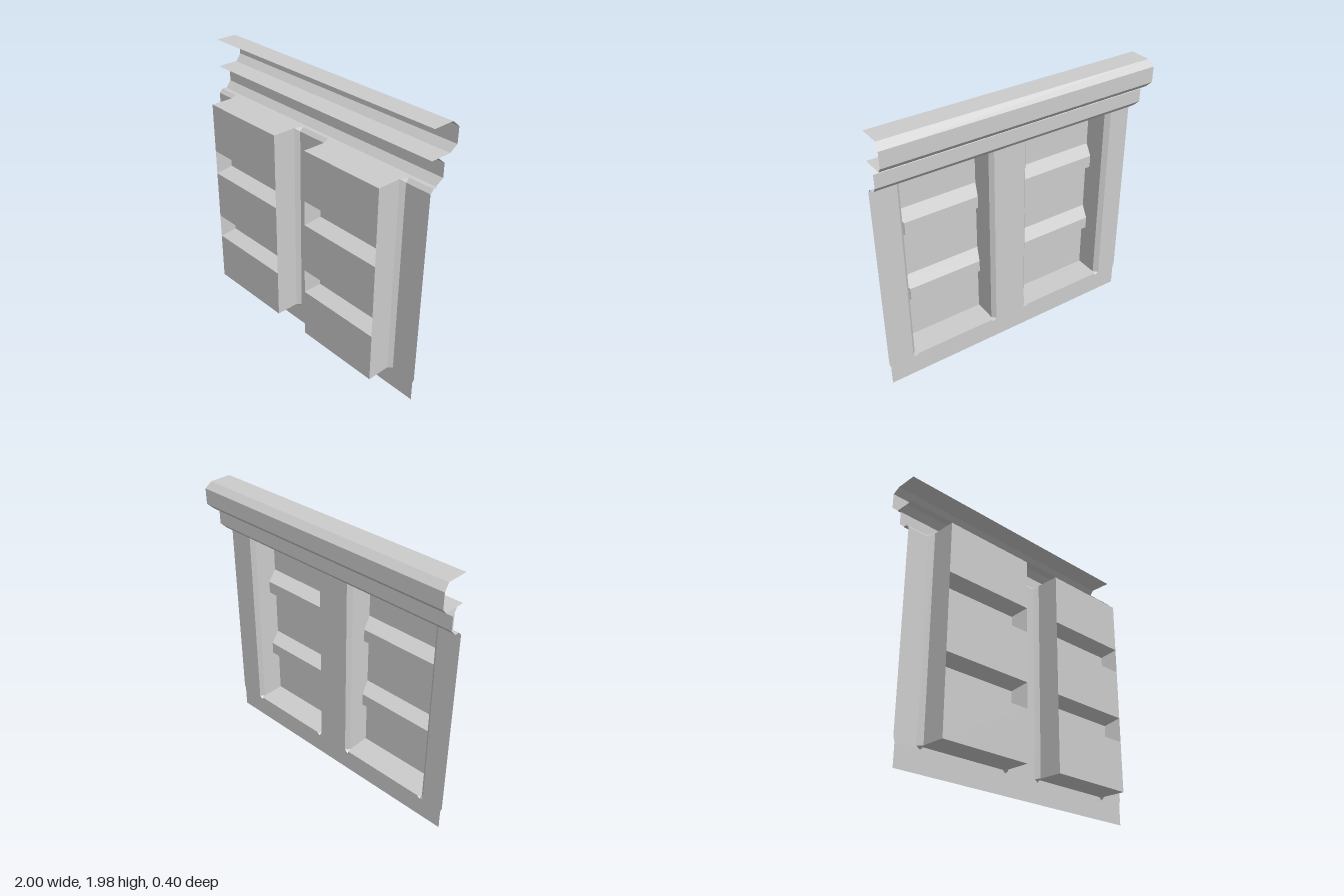
import * as THREE from 'three';

const TOP = 1.605;   // ledge above the panels
const FOOT = 0.165;  // underside of the panels
const FRONT = 0.2;   // front of the panels
const BEVEL = 0.03;  // depth of the panel side bevels

const material = new THREE.MeshStandardMaterial({
  color: 0xcccccc, flatShading: true, side: THREE.DoubleSide,
});

// Sheet from convex polygons, each a counter-clockwise list of [x, y, z] corners
function sheet(name, polygons) {
  const positions = [];
  for (const p of polygons) {
    for (let i = 1; i < p.length - 1; i++) positions.push(...p[0], ...p[i], ...p[i + 1]);
  }
  const geometry = new THREE.BufferGeometry();
  geometry.setAttribute('position', new THREE.Float32BufferAttribute(positions, 3));
  geometry.computeVertexNormals();
  const mesh = new THREE.Mesh(geometry, material);
  mesh.name = name;
  return mesh;
}

// Flat sheet from an outline of [x, y] points
function flat(name, points) {
  const shape = new THREE.Shape(points.map(([x, y]) => new THREE.Vector2(x, y)));
  const mesh = new THREE.Mesh(new THREE.ShapeGeometry(shape), material);
  mesh.name = name;
  return mesh;
}

// Moulding: a profile of [z, y, halfWidth] points, from top to bottom, swept along x
function moulding(name, profile) {
  const faces = [];
  for (let i = 0; i < profile.length - 1; i++) {
    const [za, ya, wa] = profile[i], [zb, yb, wb] = profile[i + 1];
    faces.push([[-wa, ya, za], [-wb, yb, zb], [wb, yb, zb], [wa, ya, za]]);
  }
  return sheet(name, faces);
}

// Tapered pocket set into a panel front
function pocket(x0, x1, y0, y1) {
  const ring = (inset, z) => [
    [x0 + inset, y0 + inset, z], [x1 - inset, y0 + inset, z],
    [x1 - inset, y1 - inset, z], [x0 + inset, y1 - inset, z],
  ];
  const outer = ring(0, FRONT), inner = ring(0.045, 0.1);
  const faces = [inner];
  for (let i = 0; i < 4; i++) {
    const j = (i + 1) % 4;
    faces.push([outer[i], outer[j], inner[j], inner[i]]);
  }
  return sheet('pocket', faces);
}

// Panel side with its bevel, foot notch and top mitre; wall edge at xw, panel edge at xp
function panelSide(xp, xw) {
  const inside = xp - Math.sign(xw - xp) * 0.02;
  const faces = [
    [[xp, FOOT, FRONT], [xp, FOOT, BEVEL], [xp, TOP, BEVEL], [xp, TOP, FRONT]],
    [[xp, FOOT, BEVEL], [xw, FOOT, 0], [xw, 1.58, 0], [xp, TOP, BEVEL]],
    [[xp, TOP, BEVEL], [xw, 1.58, 0], [xw, TOP, -0.025]],
    [[xw, FOOT, 0], [xp, FOOT, BEVEL], [xp, 0.145, 0]],
    [[xp, FOOT, BEVEL], [inside, FOOT, 0], [xp, 0.145, 0]],
  ];
  if (xw < xp) faces.forEach((f) => f.reverse());
  return sheet('panelSide', faces);
}

export function createModel() {
  const model = new THREE.Group();
  model.name = 'wallPanel';

  // Panel edges x0, x1 and the wall edges w0, w1 beside them
  const panels = [
    { x0: -0.81, x1: -0.14, w0: -0.84, w1: -0.115 },
    { x0: 0.15, x1: 0.79, w0: 0.125, w1: 0.815 },
  ];
  const slots = [[0.525, 0.705], [1.065, 1.245]];

  // Raised panels, open at the back
  for (const { x0, x1, w0, w1 } of panels) {
    const panel = new THREE.Group();
    panel.name = 'raisedPanel';
    const levels = [FOOT, ...slots.flat(), TOP];
    const strips = [];
    for (let i = 0; i < levels.length; i += 2) {
      const a = levels[i], b = levels[i + 1];
      strips.push([[x0, a, FRONT], [x1, a, FRONT], [x1, b, FRONT], [x0, b, FRONT]]);
    }
    panel.add(sheet('panelFront', strips));
    panel.add(sheet('panelFoot', [
      [[x0, FOOT, 0], [x1, FOOT, 0], [x1, FOOT, FRONT], [x0, FOOT, FRONT]],
    ]));
    for (const [a, b] of slots) panel.add(pocket(x0, x1, a, b));
    panel.add(panelSide(x0, w0), panelSide(x1, w1));
    model.add(panel);
  }

  // Wall with base and three pilasters, cut out behind the panels
  const wall = [[-0.99, 0.15], [-0.99, 0], [0.99, 0], [0.99, 0.15], [1, 0.18], [1, 1.58]];
  for (const { x0, x1, w0, w1 } of [...panels].reverse()) {
    wall.push([w1, 1.58], [w1, FOOT], [x1, 0.145], [x1 - 0.02, FOOT],
      [x0 + 0.02, FOOT], [x0, 0.145], [w0, FOOT], [w0, 1.58]);
  }
  wall.push([-1, 1.58], [-1, 0.18]);
  model.add(flat('wall', wall));

  // Bevels on top of the pilasters
  const pilasters = [[-1, -0.84], [-0.115, 0.125], [0.815, 1]];
  model.add(sheet('pilasterBevels', pilasters.map(([a, b]) => [
    [a, 1.58, 0], [b, 1.58, 0], [b, TOP, -0.025], [a, TOP, -0.025],
  ])));

  // Ledge over pilasters and panels, drawn as x and -z, then laid flat
  const ledge = [[1, 0.055], [-1, 0.055], [-1, 0.025]];
  for (const { x0, x1, w0, w1 } of panels) {
    ledge.push([w0, 0.025], [x0, -BEVEL], [x0, -FRONT], [x1, -FRONT], [x1, -BEVEL], [w1, 0.025]);
  }
  ledge.push([1, 0.025]);
  const ledgeMesh = flat('ledge', ledge);
  ledgeMesh.rotation.x = -Math.PI / 2;
  ledgeMesh.position.y = TOP;
  model.add(ledgeMesh);

  // Two channel mouldings, the upper one deeper
  model.add(moulding('upperMoulding', [
    [0, 1.98, 0.99], [-0.155, 1.98, 0.99], [-0.2, 1.94, 1],
    [-0.2, 1.83, 1], [-0.155, 1.785, 0.99], [0, 1.785, 0.99],
  ]));
  model.add(moulding('lowerMoulding', [
    [-0.055, 1.785, 0.99], [-0.1, 1.745, 1], [-0.1, 1.65, 1], [-0.055, TOP, 0.99],
  ]));
  return model;
}
